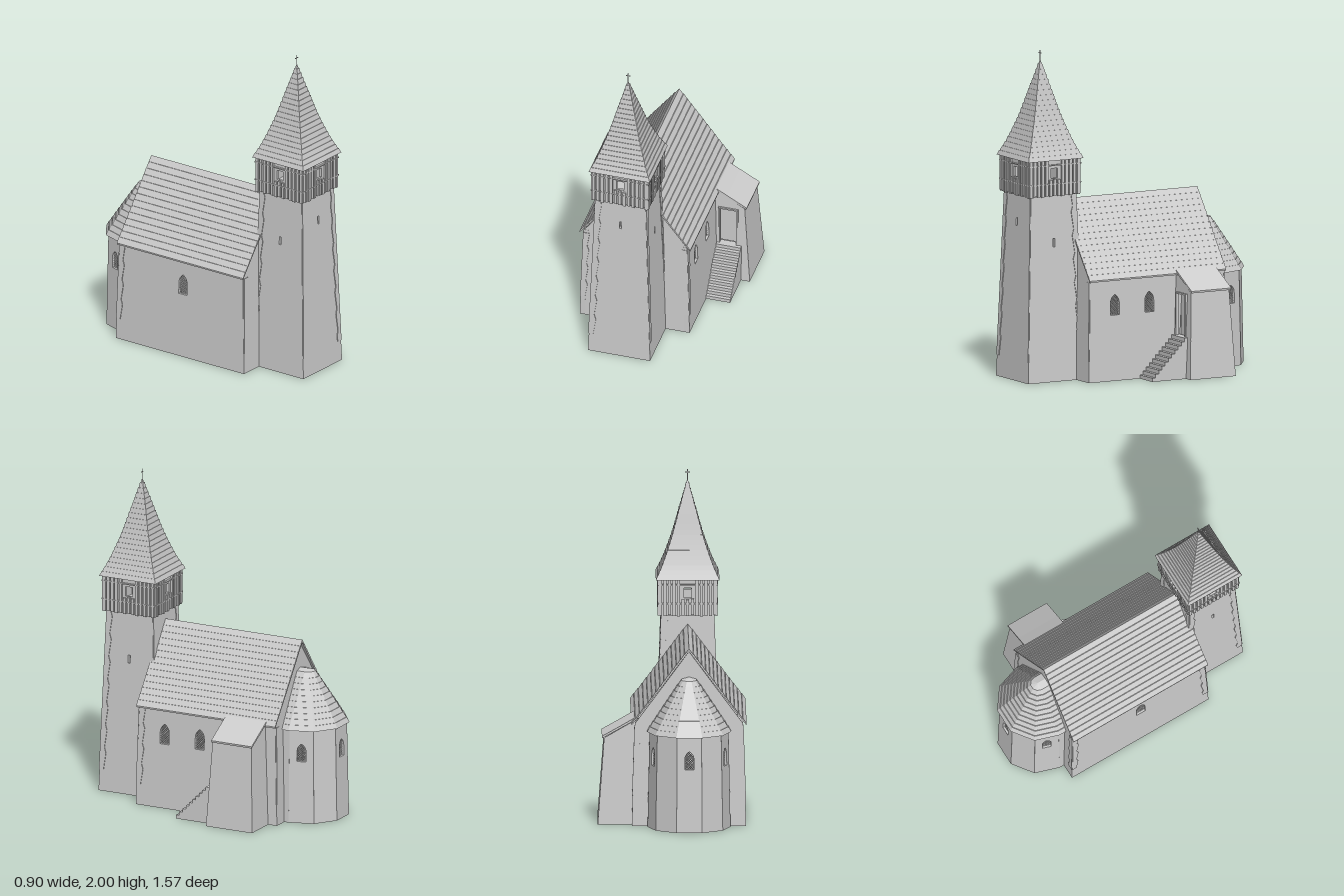
import * as THREE from 'three';

const CX = -0.1, TZ = 0.59, AZ = -0.545;   // church axis, tower centre, apse centre
const mat = new THREE.MeshStandardMaterial({ color: 0xcccccc, flatShading: true, side: THREE.DoubleSide });
const V = (x, y) => new THREE.Vector2(x, y);
const box = (w, h, d) => new THREE.BoxGeometry(w, h, d);
const extrude = (shape, depth) => new THREE.ExtrudeGeometry(shape, { depth, bevelEnabled: false, curveSegments: 6 });

function add(parent, name, geo, x = 0, y = 0, z = 0) {
  const m = new THREE.Mesh(geo, mat);
  m.name = name;
  m.position.set(x, y, z);
  parent.add(m);
}

function group(parent, name) {
  const g = new THREE.Group();
  g.name = name;
  parent.add(g);
  return g;
}

// Rectangular or pointed-arch hole, u = centre, y = sill
function hole({ u, y, w, h, arched }) {
  const r = w / 2, spring = arched ? y + h * 0.55 : y + h;
  const p = new THREE.Path([V(u - r, y), V(u + r, y), V(u + r, spring)]);
  if (arched) p.quadraticCurveTo(u + r, y + h * 0.85, u, y + h).quadraticCurveTo(u - r, y + h * 0.85, u - r, spring);
  else p.lineTo(u - r, spring);
  p.closePath();
  return p;
}

// Wall standing on the ground line a -> b (left to right from outside), leaning inward.
// pts is its outline in (along, up); quoins = height of the rough corner stones.
function wall(parent, name, a, b, lean, pts, { holes = [], quoins = 0, inset = 0, depth = holes.length ? 0.03 : 0.012 } = {}) {
  const t = b.clone().sub(a).normalize(), L = a.distanceTo(b);
  const o = V(-t.y, t.x);
  const M = new THREE.Matrix4().set(
    t.x, -o.x * lean, o.x, a.x,
    0, 1, 0, 0,
    t.y, -o.y * lean, o.y, a.y,
    0, 0, 0, 1);
  const shape = new THREE.Shape(pts.map(p => V(p[0], p[1])));
  shape.holes = holes.map(hole);
  add(parent, name, extrude(shape, depth).translate(0, 0, -depth).applyMatrix4(M));

  for (const w of holes.filter(q => !q.open)) {
    const cy = w.y + w.h / 2;
    add(parent, 'windowPane', box(w.w * 1.1, w.h * 1.05, 0.003).translate(w.u, cy, -0.027).applyMatrix4(M));
    if (w.arched) for (const s of [-1, 1]) for (let i = -5; i <= 5; i++) {
      const bar = box(0.003, w.w * 1.4, 0.01).rotateZ(s * Math.PI / 4).translate(w.u, cy + i * 0.014, -0.018);
      add(parent, 'windowLattice', bar.applyMatrix4(M));
    }
  }

  // jagged strips of corner stones at both ends
  if (quoins) for (const end of [0, 1]) {
    const edge = (y, w) => V(end ? L - inset * y - w : inset * y + w, y);
    const strip = [edge(quoins, 0), edge(0.13, 0)];
    for (let i = 0, n = Math.round(quoins / 0.04); i <= n; i++) {
      strip.push(edge(0.13 + (quoins - 0.13) * i / n, 0.028 + ((i * 5 + end * 2) % 4) * 0.004));
    }
    add(parent, 'cornerStones', extrude(new THREE.Shape(strip), 0.004).applyMatrix4(M));
  }
}

const trapezoid = (L, h, inset) => [[0, 0], [L, 0], [L - inset, h], [inset, h]];

// Shingle courses stepping back along a slope, from eaves to top
function courses(pts, n, step) {
  const p = new THREE.SplineCurve(pts).getSpacedPoints(n);
  const out = [];
  for (let i = 0; i < n; i++) out.push(p[i], V(p[i + 1].x + (i < n - 1 ? step : 0), p[i + 1].y));
  return out;
}

// Symmetric roof profile extruded from z0 to z1
function gableRoof(parent, name, slope, under, z0, z1) {
  const left = slope.slice().reverse().map(p => V(-p.x, p.y));
  add(parent, name, extrude(new THREE.Shape([...slope, ...left, ...under]), z1 - z0), CX, 0, z0);
}

// Four walls round the tower square
function squareWalls(parent, name, half, lean, outline, optionsFor) {
  const c = [[-1, 1], [1, 1], [1, -1], [-1, -1]].map(([x, z]) => V(CX + x * half, TZ + z * half));
  for (let i = 0; i < 4; i++) wall(parent, name, c[i], c[(i + 1) % 4], lean, outline, optionsFor(i));
}

function buildTower(root) {
  const g = group(root, 'tower');
  squareWalls(g, 'towerWall', 0.195, 0.033, trapezoid(0.39, 1.14, 0.0376), i => ({
    holes: i === 2 ? [] : [{ u: 0.195, y: i ? 0.82 : 0.94, w: 0.014, h: 0.05 }], quoins: 1.13, inset: 0.033,
  }));
  add(g, 'towerFloor', box(0.36, 0.01, 0.36), CX, 0.14, TZ);

  // timber belfry with one opening on each side
  const H = 0.17;
  const b = group(g, 'belfry');
  add(b, 'belfryFloor', box(2 * H, 0.015, 2 * H), CX, 1.14, TZ);
  squareWalls(b, 'belfryWall', H, 0, [[0, 1.135], [2 * H, 1.135], [2 * H, 1.36], [0, 1.36]],
    () => ({ holes: [{ u: H, y: 1.24, w: 0.045, h: 0.06, open: true }], depth: 0.015 }));
  for (let s = 0; s < 4; s++) {
    const side = group(b, 'belfryCladding');
    side.position.set(CX, 0, TZ);
    side.rotation.y = s * Math.PI / 2;
    for (let i = 0; i < 13; i++) {
      const x = (i - 6) * 0.0275, drop = ((i * 7 + s * 3) % 5) * 0.002;
      const h = Math.abs(x) > 0.03 ? 0.222 + drop : 0.1;
      add(side, 'board', box(0.018, h, 0.014), x, 1.136 - drop + h / 2, H + 0.004);
    }
    for (const y of [1.205, 1.32]) add(side, 'rail', box(2 * H + 0.02, 0.007, 0.014), 0, y, H + 0.006);
  }

  // flared pyramid spire
  const slope = [[0.192, 1.35], [0.15, 1.44], [0.097, 1.59], [0.05, 1.76], [0.02, 1.87], [0, 1.945]];
  const prof = courses(slope.map(p => V(p[0], p[1])), 20, 0.003).map(p => V(p.x * Math.SQRT2, p.y));
  add(g, 'spire', new THREE.LatheGeometry([V(0, 1.362), ...prof], 4, Math.PI / 4), CX, 0, TZ);
  add(g, 'crossPost', box(0.004, 0.08, 0.004), CX, 1.96, TZ);
  add(g, 'crossArm', box(0.028, 0.004, 0.004), CX, 1.982, TZ);
}

function buildNave(root) {
  const g = group(root, 'nave');
  const x0 = -0.445, x1 = 0.245, z0 = -0.515, z1 = 0.45;
  const gable = [[0, 0], [0.69, 0], [0.67, 0.625], [0.5, 0.852], [0.345, 1.06], [0.19, 0.852], [0.02, 0.625]];
  const side = trapezoid(z1 - z0, 0.63, 0.015);
  const win = u => ({ u, y: 0.4, w: 0.062, h: 0.125, arched: true });
  const stones = { quoins: 0.61, inset: 0.03 };
  wall(g, 'frontGable', V(x0, z1), V(x1, z1), 0.025, gable, stones);
  wall(g, 'leftWall', V(x1, z1), V(x1, z0), 0.032, side, { holes: [win(0.19), win(0.43)], ...stones });
  wall(g, 'backGable', V(x1, z0), V(x0, z0), 0.025, gable, stones);
  wall(g, 'rightWall', V(x0, z0), V(x0, z1), 0.032, side, { holes: [win(0.495)], ...stones });
  add(g, 'naveFloor', box(0.67, 0.01, 0.94), CX, 0.15, -0.03);
  gableRoof(g, 'naveRoof', courses([V(0.348, 0.622), V(0.25, 0.747), V(0.16, 0.868), V(0, 1.08)], 14, 0.004),
    [V(-0.347, 0.612), V(-0.16, 0.852), V(0, 1.064), V(0.16, 0.852), V(0.347, 0.612)], -0.505, 0.445);
}

function buildApse(root) {
  const g = group(root, 'apse');
  const R = 0.25, N = 5;
  const corner = k => {
    const a = Math.PI / 2 + k * Math.PI / N;
    return V(CX + R * Math.sin(a), AZ + R * Math.cos(a));
  };
  for (let k = 0; k < N; k++) {
    const a = corner(k), b = corner(k + 1), L = a.distanceTo(b);
    const holes = k % 2 ? [] : [{ u: L / 2, y: 0.385, w: 0.055, h: 0.11, arched: true }];
    wall(g, 'apseWall', a, b, 0.02, trapezoid(L, 0.59, 0.004), { holes });
  }
  // short straight bays joining the nave
  wall(g, 'apseBay', V(CX + R, -0.48), V(CX + R, AZ), 0.02, trapezoid(0.065, 0.59, 0));
  wall(g, 'apseBay', V(CX - R, AZ), V(CX - R, -0.48), 0.02, trapezoid(0.065, 0.59, 0));
  add(g, 'apseFloor', new THREE.CylinderGeometry(0.235, 0.235, 0.01, N, 1, false, Math.PI / 2, Math.PI), CX, 0.13, AZ);
  const slope = courses([V(0.253, 0.58), V(0.148, 0.74), V(0.045, 0.895)], 10, 0.004);
  add(g, 'apseRoof', new THREE.LatheGeometry([V(0, 0.582), ...slope, V(0, 0.907)], N, Math.PI / 2, Math.PI), CX, 0, AZ);
  gableRoof(g, 'apseRoofBay', [...slope, V(0, 0.907)], [], AZ, -0.47);
}

function buildSacristy(root) {
  const g = group(root, 'sacristy');
  const x0 = 0.2, x1 = 0.45, z0 = -0.455, z1 = -0.14;
  const end = [[0, 0], [0.25, 0], [0.211, 0.525], [0, 0.645]];
  wall(g, 'doorWall', V(x0, z1), V(x1, z1), 0.047, end, { holes: [{ u: 0.11, y: 0.25, w: 0.12, h: 0.26, open: true }] });
  wall(g, 'outerWall', V(x1, z1), V(x1, z0), 0.074, trapezoid(z1 - z0, 0.53, 0.025));
  wall(g, 'backWall', V(x1, z0), V(x0, z0), 0.047, end.map(p => [0.25 - p[0], p[1]]).reverse());
  // door frame and recessed door
  for (const x of [0.253, 0.367]) add(g, 'doorJamb', box(0.01, 0.26, 0.02), x, 0.38, -0.16);
  add(g, 'doorLintel', box(0.124, 0.01, 0.02), 0.31, 0.507, -0.164);
  add(g, 'door', box(0.13, 0.27, 0.008), 0.31, 0.38, -0.195);
  // lean-to roof
  const roof = new THREE.Shape([V(0.2, 0.664), V(0.3, 0.606), V(0.425, 0.536), V(0.423, 0.524), V(0.3, 0.592), V(0.2, 0.648)]);
  add(g, 'sacristyRoof', extrude(roof, 0.276), 0, 0, -0.438);
  // solid stone stair up to the door
  const n = 11;
  for (let i = 0; i < n; i++) {
    const front = 0.095 - i * 0.0225, h = (i + 1) * 0.25 / n;
    add(g, 'step', box(0.155, h, front + 0.16), 0.3175, h / 2, (front - 0.16) / 2);
  }
}

export function createModel() {
  const root = new THREE.Group();
  root.name = 'church';
  for (const build of [buildTower, buildNave, buildApse, buildSacristy]) build(root);
  return root;
}
